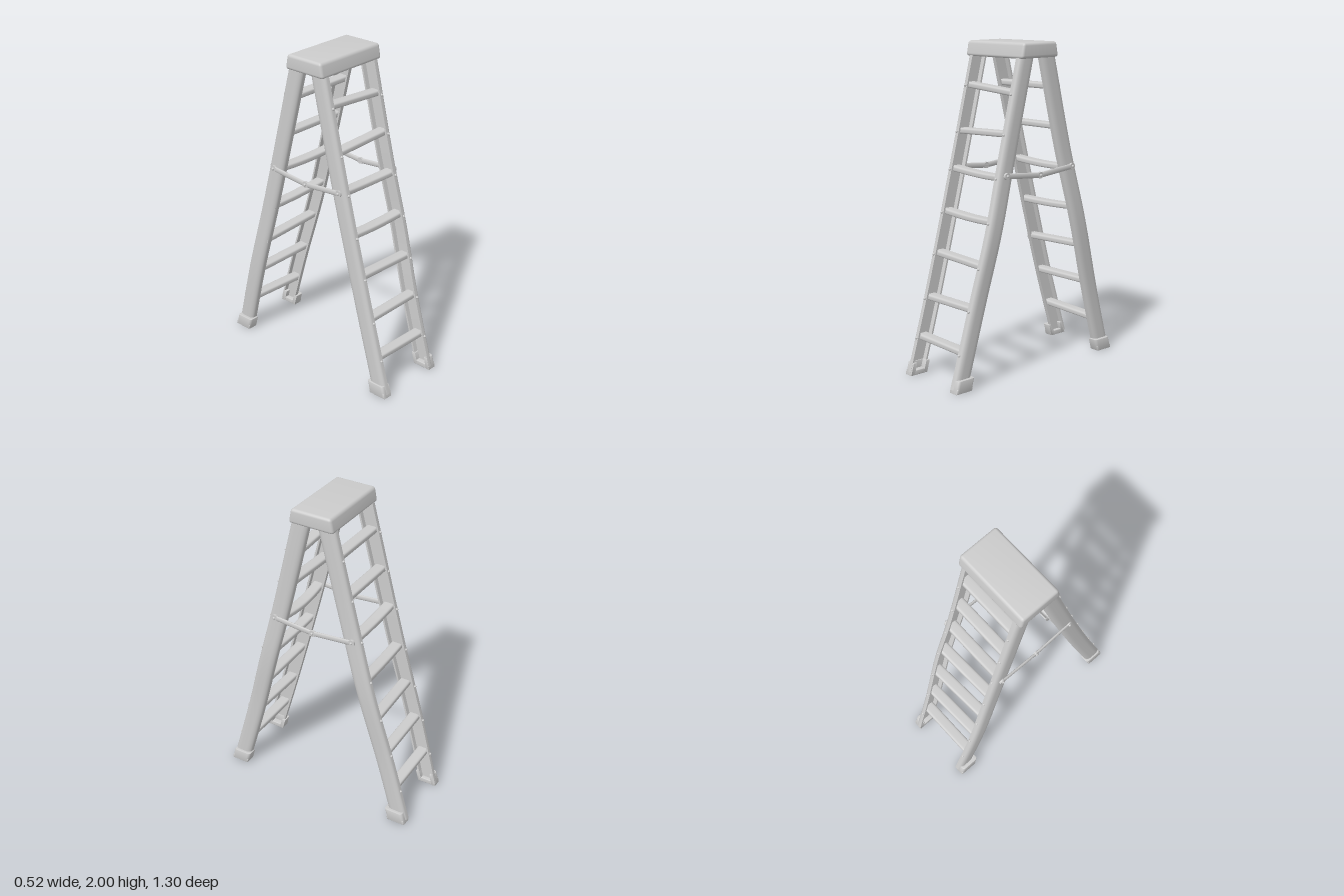
import * as THREE from 'three';
import { toCreasedNormals } from 'three/addons/utils/BufferGeometryUtils.js';
import { RoundedBoxGeometry } from 'three/addons/geometries/RoundedBoxGeometry.js';

const mat = new THREE.MeshStandardMaterial({ color: 0xcccccc });

function add(parent, geo, name, x = 0, y = 0, z = 0) {
  const m = new THREE.Mesh(geo, mat);
  m.name = name;
  m.position.set(x, y, z);
  parent.add(m);
  return m;
}

// Smooth normals with sharp edges; enlarged meanwhile so close vertices stay distinct
function crease(geo) {
  return toCreasedNormals(geo.scale(100, 100, 100), 0.6).scale(0.01, 0.01, 0.01);
}

// Move every vertex of a geometry by a rule
function deform(geo, rule) {
  const p = geo.attributes.position, v = new THREE.Vector3();
  for (let i = 0; i < p.count; i++) {
    rule(v.fromBufferAttribute(p, i));
    p.setXYZ(i, v.x, v.y, v.z);
  }
  return crease(geo);
}

// C-shaped channel section, open on the inner side: [inward, depth].
// Outer corners are elliptical, ru inward by rv deep.
function channel(w, h, t, ru, rv) {
  const half = [[w, h]];
  for (let i = 0; i <= 6; i++) {
    const a = i / 6 * Math.PI / 2;
    half.push([ru * (1 - Math.sin(a)), h - rv * (1 - Math.cos(a))]);
  }
  half.splice(1, 7, ...half.slice(1).reverse().map(([u], i) => {
    const a = i / 6 * Math.PI / 2;
    return [ru * (1 - Math.sin(a)), h - rv * (1 - Math.cos(a))];
  }));
  return close(half, w, h, t);
}

// Mirror the outer half and add the inner walls
function close(half, w, h, t) {
  const back = half.map(([u, v]) => [u, -v]).reverse();
  return [...half, ...back, [w, t - h], [t, t - h], [t, h - t], [w, h - t]];
}

// Point of a curve at a given height (curves run upwards)
function atHeight(curve, y) {
  const pts = curve.getPoints(60);
  const i = Math.max(1, pts.findIndex((p) => p.y >= y));
  const a = pts[i - 1], b = pts[i];
  return a.clone().lerp(b, (y - a.y) / (b.y - a.y));
}

// Rail: horizontal channel sections carried up the curve of its outer face
function railGeometry(curve, s) {
  const sec = channel(0.042, 0.057, 0.012, 0.022, 0.036);
  if (s < 0) sec.reverse();
  const steps = 28, n = sec.length, pos = [], idx = [];
  curve.getPoints(steps).forEach((c, i) => sec.forEach(([u, v], j) => {
    pos.push(c.x - s * u, c.y, c.z + v);
    if (i === steps) return;
    const a = i * n + j, b = i * n + (j + 1) % n;
    idx.push(a, b, b + n, a, b + n, a + n);
  }));
  const g = new THREE.BufferGeometry();
  g.setAttribute('position', new THREE.Float32BufferAttribute(pos, 3));
  g.setIndex(idx);
  return crease(g);
}

// Shoe: thicker channel plus sole, sheared to follow the rail
function addShoe(parent, s, f, x, z) {
  const shoe = new THREE.Group();
  shoe.name = 'foot';
  const lean = (v) => { v.z -= f * 0.28 * v.y; };
  const b = 0.004;
  const shape = new THREE.Shape(channel(0.055, 0.057, 0.018, 0.012, 0.014)
    .map(([u, v]) => new THREE.Vector2(-s * u, v)));
  const wall = new THREE.ExtrudeGeometry(shape, {
    depth: 0.069, bevelThickness: b, bevelSize: b, bevelSegments: 2,
  });
  wall.rotateX(-Math.PI / 2).translate(0, b, 0);
  add(shoe, deform(wall, lean), 'footWall');
  const sole = new RoundedBoxGeometry(0.061, 0.03, 0.118, 2, 0.004);
  sole.translate(-s * 0.0275, 0.0152, 0);
  add(shoe, deform(sole, lean), 'footSole');
  shoe.position.set(x, 0, z);
  parent.add(shoe);
}

// Rung: rounded flat bar along x, slanted, sagging and bowed in depth
function rungGeometry(x0, x1, rise, sag, skew, bow) {
  const a = 0.036, h = 0.018, rx = 0.018, ry = 0.012, s = new THREE.Shape();
  s.moveTo(-a + rx, -h);
  s.lineTo(a - rx, -h).quadraticCurveTo(a, -h, a, -h + ry);
  s.lineTo(a, h - ry).quadraticCurveTo(a, h, a - rx, h);
  s.lineTo(-a + rx, h).quadraticCurveTo(-a, h, -a, h - ry);
  s.lineTo(-a, -h + ry).quadraticCurveTo(-a, -h, -a + rx, -h);
  const len = x1 - x0;
  const g = new THREE.ExtrudeGeometry(s, {
    depth: len, steps: 10, bevelEnabled: false, curveSegments: 5,
  });
  g.rotateY(Math.PI / 2).translate(x0, 0, 0);
  return deform(g, (v) => {
    const t = (v.x - x0) / len, arc = Math.sin(Math.PI * t);
    v.y += rise * (t - 0.5) - sag * arc;
    v.z += skew * (t - 0.5) + bow * arc;
  });
}

// Each frame: outer-face paths [x, y, z] of both rails, and rungs as
// [height at -x, height at +x, sag, skew, bow]
const frames = [
  {
    name: 'frontFrame', f: 1,
    rails: [
      [[-0.247, 0.02, 0.59], [-0.244, 0.5, 0.452], [-0.244, 1.2, 0.265], [-0.24, 1.93, 0.083]],
      [[0.217, 0.02, 0.59], [0.222, 0.5, 0.451], [0.238, 0.9, 0.342], [0.23, 1.3, 0.238], [0.23, 1.93, 0.083]],
    ],
    rungs: [[0.225, 0.215, 0, 0, 0], [0.46, 0.465, 0, 0, 0], [0.725, 0.71, 0, 0, 0], [0.975, 0.97, 0.008, 0, 0],
      [1.23, 1.225, 0.012, 0.004, -0.015], [1.455, 1.475, 0, 0, 0], [1.73, 1.705, 0, 0, 0]],
  },
  {
    name: 'backFrame', f: -1,
    rails: [
      [[-0.232, 0.02, -0.594], [-0.248, 0.5, -0.461], [-0.242, 1.0, -0.322], [-0.238, 1.93, -0.08]],
      [[0.216, 0.02, -0.594], [0.22, 0.4, -0.488], [0.241, 0.9, -0.347], [0.231, 1.35, -0.224], [0.23, 1.93, -0.08]],
    ],
    rungs: [[0.235, 0.22, 0, 0, 0], [0.475, 0.475, 0, -0.014, 0], [0.715, 0.725, 0, -0.026, 0], [0.97, 0.98, 0.006, -0.018, 0],
      [1.24, 1.235, 0.008, 0, 0], [1.485, 1.49, 0, 0, 0], [1.73, 1.735, 0, 0, 0]],
  },
];

export function createModel() {
  const ladder = new THREE.Group();
  ladder.name = 'stepladder';

  // Front and back frames
  for (const { name, f, rails, rungs } of frames) {
    const frame = new THREE.Group();
    frame.name = name;
    ladder.add(frame);
    const curves = rails.map((pts) => new THREE.CatmullRomCurve3(pts.map((p) => new THREE.Vector3(...p))));
    curves.forEach((curve, i) => {
      const s = i ? 1 : -1;
      add(frame, railGeometry(curve, s), i ? 'leftRail' : 'rightRail');
      addShoe(frame, s, f, i ? 0.232 : -0.253, f * 0.59);
    });
    for (const [y0, y1, sag, skew, bow] of rungs) {
      const ends = [atHeight(curves[0], y0), atHeight(curves[1], y1)];
      const geo = rungGeometry(ends[0].x + 0.01, ends[1].x - 0.01, y1 - y0, sag, skew, bow);
      add(frame, geo, 'rung', 0, (y0 + y1) / 2, (ends[0].z + ends[1].z) / 2 - f * 0.004);
      // Rivet on each rail's outer flange
      ends.forEach((e, i) => {
        const x = e.x + (i ? -0.028 : 0.028);
        const rivet = add(frame, new THREE.SphereGeometry(0.0085, 12, 8), 'rivet', x, e.y, e.z + f * 0.057);
        rivet.scale.z = 1.2;
      });
    }
  }

  // Top cap, narrower at the top
  const cap = deform(new RoundedBoxGeometry(0.506, 0.092, 0.296, 4, 0.018), (v) => {
    v.z *= 1 - 0.12 * (v.y + 0.046) / 0.092;
    v.y += 0.012 * v.x;
  });
  add(ladder, cap, 'topCap', -0.005, 1.951, 0.003);

  // Folding spreader on each side: two links and three pivots
  for (const [name, x, s] of [['rightSpreader', -0.246, -1], ['leftSpreader', 0.243, 1]]) {
    const spreader = new THREE.Group();
    spreader.name = name;
    ladder.add(spreader);
    const pivots = [[0.264, 1.24], [0, 1.217], [-0.266, 1.241]];
    pivots.forEach(([z, y], i) => {
      const disc = new THREE.CylinderGeometry(0.02, 0.02, 0.014, 16).rotateZ(Math.PI / 2);
      add(spreader, disc, 'pivot', x, y, z);
      const pin = add(spreader, new THREE.SphereGeometry(0.009, 12, 8), 'pivotPin', x + s * 0.008, y, z);
      pin.scale.x = 0.9;
      if (!i) return;
      const [pz, py] = pivots[i - 1];
      const len = Math.hypot(z - pz, y - py);
      const link = add(spreader, new THREE.CapsuleGeometry(0.017, len, 6, 12), 'spreaderLink', x, (y + py) / 2, (z + pz) / 2);
      link.scale.x = 0.45;
      link.rotation.x = Math.atan2(z - pz, y - py);
    });
  }
  return ladder;
}
